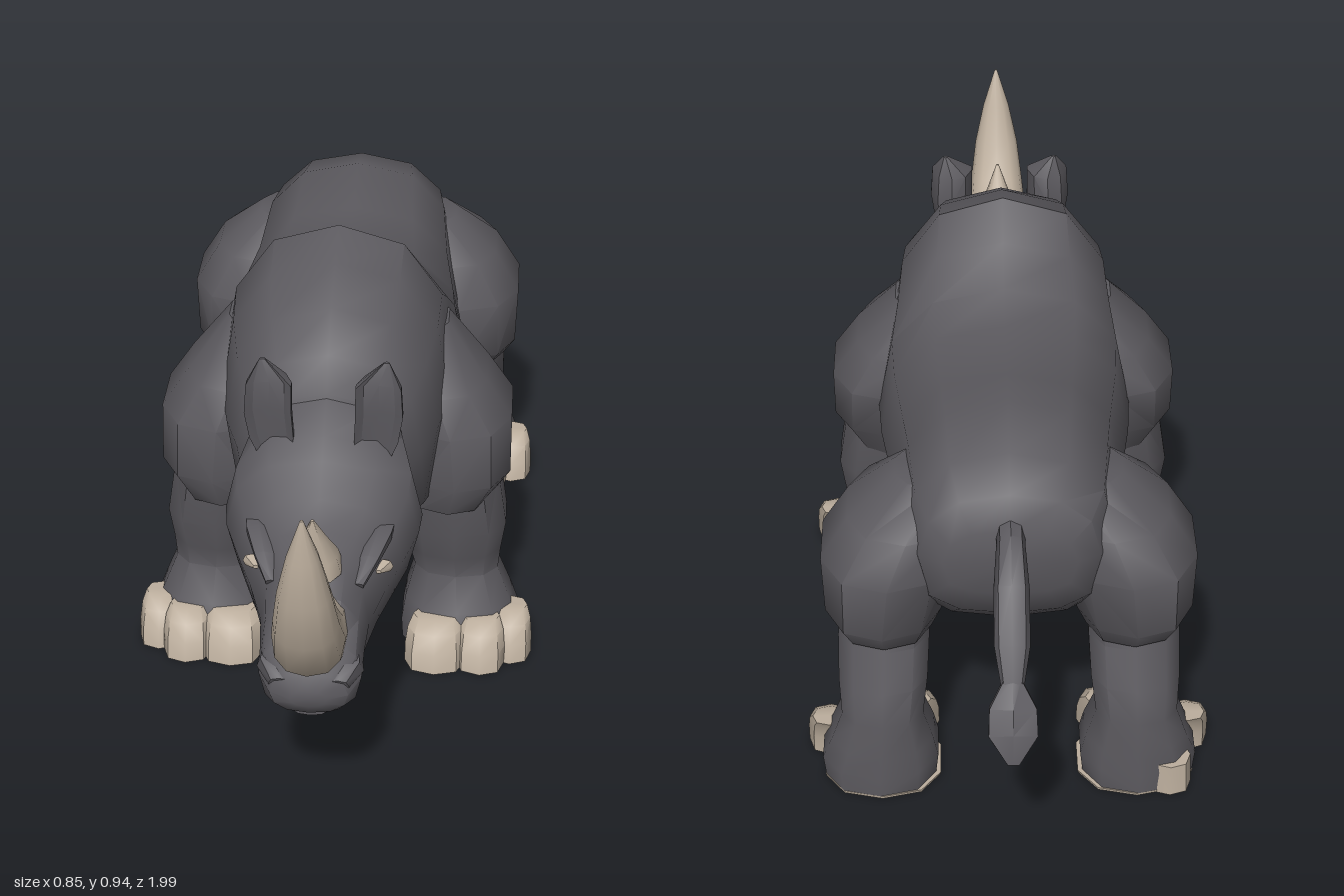
import * as THREE from 'three';
import { toCreasedNormals } from 'three/addons/utils/BufferGeometryUtils.js';

const UP = [1, 0], FORWARD = [0, 1]; // sweep directions as [y, z]
const soft = (v, power = 0.85) => Math.sign(v) * Math.pow(Math.abs(v), power);

// Loft elliptical rings [x, y, z, radiusX, radiusN]. dir fixes the ring normal, or null follows the path.
// cup scales and under squares off the lower (or front) half of each ring.
function loft(rings, { dir = null, sides = 10, mirror = 1, cup = 1, under = 0.85, crease = 0.75 } = {}) {
  const pos = [], idx = [], n = rings.length;
  rings.forEach(([x, y, z, rx, rn], i) => {
    const a = rings[Math.max(i - 1, 0)], b = rings[Math.min(i + 1, n - 1)];
    let [ty, tz] = dir || [b[1] - a[1], b[2] - a[2]];
    const len = Math.hypot(ty, tz);
    ty /= len; tz /= len;
    for (let j = 0; j < sides; j++) {
      const t = (j + 0.5) / sides * Math.PI * 2 + (sides % 4 ? 0 : Math.PI / sides);
      const c = soft(Math.cos(t)) * rx, sin = Math.sin(t);
      const s = (sin < 0 ? soft(sin, under) * cup : soft(sin)) * rn;
      pos.push(mirror * (x + c), y + tz * s, z - ty * s);
    }
  });
  const tri = (a, b, c) => (mirror > 0 ? idx.push(a, b, c) : idx.push(a, c, b));
  for (let i = 0; i < n - 1; i++) for (let j = 0; j < sides; j++) {
    const k = (j + 1) % sides, p = i * sides, q = p + sides;
    tri(p + j, p + k, q + k);
    tri(p + j, q + k, q + j);
  }
  // End caps
  for (const [i, flip] of [[0, true], [n - 1, false]]) {
    const [x, y, z] = rings[i], m = pos.length / 3;
    pos.push(mirror * x, y, z);
    for (let j = 0; j < sides; j++) {
      const p = i * sides + j, q = i * sides + (j + 1) % sides;
      flip ? tri(m, q, p) : tri(m, p, q);
    }
  }
  const g = new THREE.BufferGeometry();
  g.setAttribute('position', new THREE.Float32BufferAttribute(pos, 3));
  g.setIndex(idx);
  return toCreasedNormals(g, crease);
}

// Ring from z, top, bottom, half width (torso and head)
const span = ([z, top, bottom, hw]) => [0, (top + bottom) / 2, z, hw, (top - bottom) / 2];
// Ring from y, inner x, outer x, back z, front z (limbs)
const limb = ([y, x0, x1, z0, z1]) => [(x0 + x1) / 2, y, (z0 + z1) / 2, (x1 - x0) / 2, (z1 - z0) / 2];

export function createModel() {
  const model = new THREE.Group();
  model.name = 'rhinoceros';
  const hide = new THREE.MeshStandardMaterial({ color: 0x5b595e });
  hide.name = 'grey hide';
  const horn = new THREE.MeshStandardMaterial({ color: 0xbcae9d });
  horn.name = 'tan horn';

  const add = (name, geometry, material = hide) => {
    const mesh = new THREE.Mesh(geometry, material);
    mesh.name = name;
    model.add(mesh);
  };

  // Torso with shoulder hump and rump
  add('torso', loft([
    [-0.695, 0.67, 0.52, 0.13], [-0.665, 0.73, 0.45, 0.175], [-0.6, 0.78, 0.39, 0.205],
    [-0.47, 0.815, 0.35, 0.22], [-0.32, 0.78, 0.305, 0.235], [-0.15, 0.785, 0.27, 0.258],
    [-0.05, 0.815, 0.25, 0.265], [0.02, 0.885, 0.255, 0.25], [0.1, 0.945, 0.27, 0.24],
    [0.2, 0.91, 0.29, 0.235], [0.3, 0.86, 0.33, 0.215], [0.38, 0.8, 0.36, 0.185],
    [0.43, 0.74, 0.38, 0.15],
  ].map(span), { dir: FORWARD, sides: 12, under: 0.55 }));

  // Head and snout
  add('head', loft([
    [0.36, 0.76, 0.38, 0.15], [0.43, 0.73, 0.36, 0.17], [0.5, 0.685, 0.345, 0.195], [0.54, 0.655, 0.34, 0.19],
    [0.6, 0.605, 0.33, 0.162], [0.66, 0.57, 0.31, 0.132], [0.73, 0.545, 0.275, 0.105],
    [0.79, 0.515, 0.265, 0.1], [0.84, 0.45, 0.275, 0.098], [0.875, 0.39, 0.3, 0.075],
    [0.89, 0.36, 0.325, 0.035],
  ].map(span), { dir: FORWARD, sides: 12 }));
  add('lowerLip', loft([
    [0.69, 0.33, 0.29, 0.06], [0.75, 0.34, 0.255, 0.07], [0.81, 0.33, 0.255, 0.065], [0.85, 0.31, 0.275, 0.035],
  ].map(span), { dir: FORWARD }));

  // Horns
  add('frontHorn', loft([
    [0, 0.44, 0.8, 0.07, 0.08], [0, 0.47, 0.865, 0.07, 0.075], [0, 0.54, 0.918, 0.062, 0.058],
    [0, 0.63, 0.955, 0.05, 0.043], [0, 0.72, 0.972, 0.03, 0.027], [0, 0.805, 0.985, 0.003, 0.003],
  ], { sides: 12 }), horn);
  add('rearHorn', loft([
    [0, 0.53, 0.72, 0.054, 0.062], [0, 0.565, 0.727, 0.046, 0.05],
    [0, 0.61, 0.745, 0.025, 0.027], [0, 0.665, 0.768, 0.003, 0.003],
  ], { dir: UP }), horn);

  // Tail and tuft
  add('tail', loft([
    [0, 0.65, -0.65, 0.028, 0.038], [0, 0.65, -0.72, 0.028, 0.038], [0, 0.605, -0.79, 0.034, 0.032],
    [0, 0.525, -0.86, 0.034, 0.025], [0, 0.44, -0.915, 0.018, 0.016],
  ], { sides: 8 }));
  add('tailTuft', loft([
    [0, 0.475, -0.895, 0.018, 0.015], [0, 0.425, -0.92, 0.05, 0.042],
    [0, 0.385, -0.955, 0.052, 0.038], [0, 0.345, -0.99, 0.012, 0.008],
  ], { sides: 6 }));

  for (const mirror of [1, -1]) {
    const side = mirror > 0 ? 'left' : 'right';
    const part = (name, rings, opts = {}, material = hide) =>
      add(side + name, loft(rings, { mirror, ...opts }), material);

    // Cupped ear, open to the front
    part('Ear', [
      [0.098, 0.63, 0.5, 0.03, 0.04], [0.102, 0.68, 0.515, 0.045, 0.075], [0.108, 0.74, 0.525, 0.048, 0.09],
      [0.106, 0.8, 0.52, 0.046, 0.075], [0.12, 0.842, 0.48, 0.006, 0.008],
    ], { dir: UP, cup: -0.35, crease: 0.5 });

    // Brow, eye and nostril
    part('Brow', [
      [0.128, 0.54, 0.56, 0.022, 0.015], [0.116, 0.54, 0.62, 0.028, 0.018],
      [0.1, 0.522, 0.68, 0.022, 0.015], [0.083, 0.495, 0.73, 0.012, 0.01],
    ], { sides: 6 });
    part('Eye', [
      [0.128, 0.488, 0.63, 0.006, 0.004], [0.128, 0.49, 0.65, 0.018, 0.015], [0.118, 0.492, 0.675, 0.006, 0.004],
    ], { dir: FORWARD, sides: 8 }, horn);
    part('Nostril', [
      [0.075, 0.39, 0.79, 0.02, 0.025], [0.07, 0.375, 0.835, 0.032, 0.035], [0.055, 0.36, 0.87, 0.022, 0.022],
    ], { sides: 8 });

    // Front limb
    part('Shoulder', [
      [0.36, 0.15, 0.325, 0.01, 0.26], [0.43, 0.13, 0.37, -0.02, 0.285], [0.55, 0.11, 0.37, -0.065, 0.28],
      [0.63, 0.1, 0.315, -0.05, 0.255], [0.735, 0.1, 0.23, 0.0, 0.16],
    ].map(limb), { dir: UP });
    part('FrontLeg', [
      [0.006, 0.14, 0.395, 0.04, 0.275], [0.05, 0.137, 0.4, 0.035, 0.275], [0.1, 0.145, 0.38, 0.04, 0.25],
      [0.17, 0.165, 0.35, 0.06, 0.21], [0.22, 0.15, 0.355, 0.04, 0.22], [0.29, 0.14, 0.365, 0.02, 0.24],
      [0.42, 0.14, 0.345, 0.01, 0.25],
    ].map(limb), { dir: UP });

    // Hind limb
    part('Thigh', [
      [0.345, 0.15, 0.345, -0.645, -0.39], [0.39, 0.13, 0.37, -0.675, -0.345], [0.52, 0.1, 0.375, -0.69, -0.335],
      [0.61, 0.08, 0.32, -0.66, -0.365], [0.69, 0.06, 0.225, -0.58, -0.43],
    ].map(limb), { dir: UP });
    part('HindLeg', [
      [0.006, 0.145, 0.38, -0.695, -0.46], [0.05, 0.14, 0.385, -0.695, -0.46], [0.1, 0.15, 0.365, -0.69, -0.48],
      [0.18, 0.17, 0.34, -0.69, -0.53], [0.25, 0.16, 0.345, -0.675, -0.48], [0.33, 0.155, 0.345, -0.64, -0.43],
      [0.42, 0.15, 0.34, -0.62, -0.41],
    ].map(limb), { dir: UP });

    // Soles and three wedge-shaped toenails on each foot
    for (const [foot, z, out] of [['Front', 0.155, 0], ['Hind', -0.58, -0.01]]) {
      part(foot + 'Sole', [[0.268 + out, 0, z, 0.122, 0.115], [0.268 + out, 0.006, z, 0.123, 0.116]], { dir: UP }, horn);
      [[0.218, 0.125, 0.064], [0.315, 0.12, 0.052], [0.378, 0.075, 0.046]].forEach(([x, dz, w], i) => {
        const cx = x + out, cz = z + dz;
        part(foot + 'Toe' + (i + 1), [
          [cx, 0, cz, w, 0.052], [cx, 0.04, cz - 0.005, w, 0.047],
          [cx, 0.075, cz - 0.02, w * 0.92, 0.04], [cx, 0.094, cz - 0.04, w * 0.75, 0.03],
        ], { dir: UP, sides: 8 }, horn);
      });
      // Extra heel nail on the right feet only
      if (mirror < 0) part(foot + 'HeelNail', [
        [0.335 + out, 0, z - 0.07, 0.045, 0.045], [0.335 + out, 0.07, z - 0.07, 0.042, 0.042],
      ], { dir: UP, sides: 8 }, horn);
    }
  }
  return model;
}
